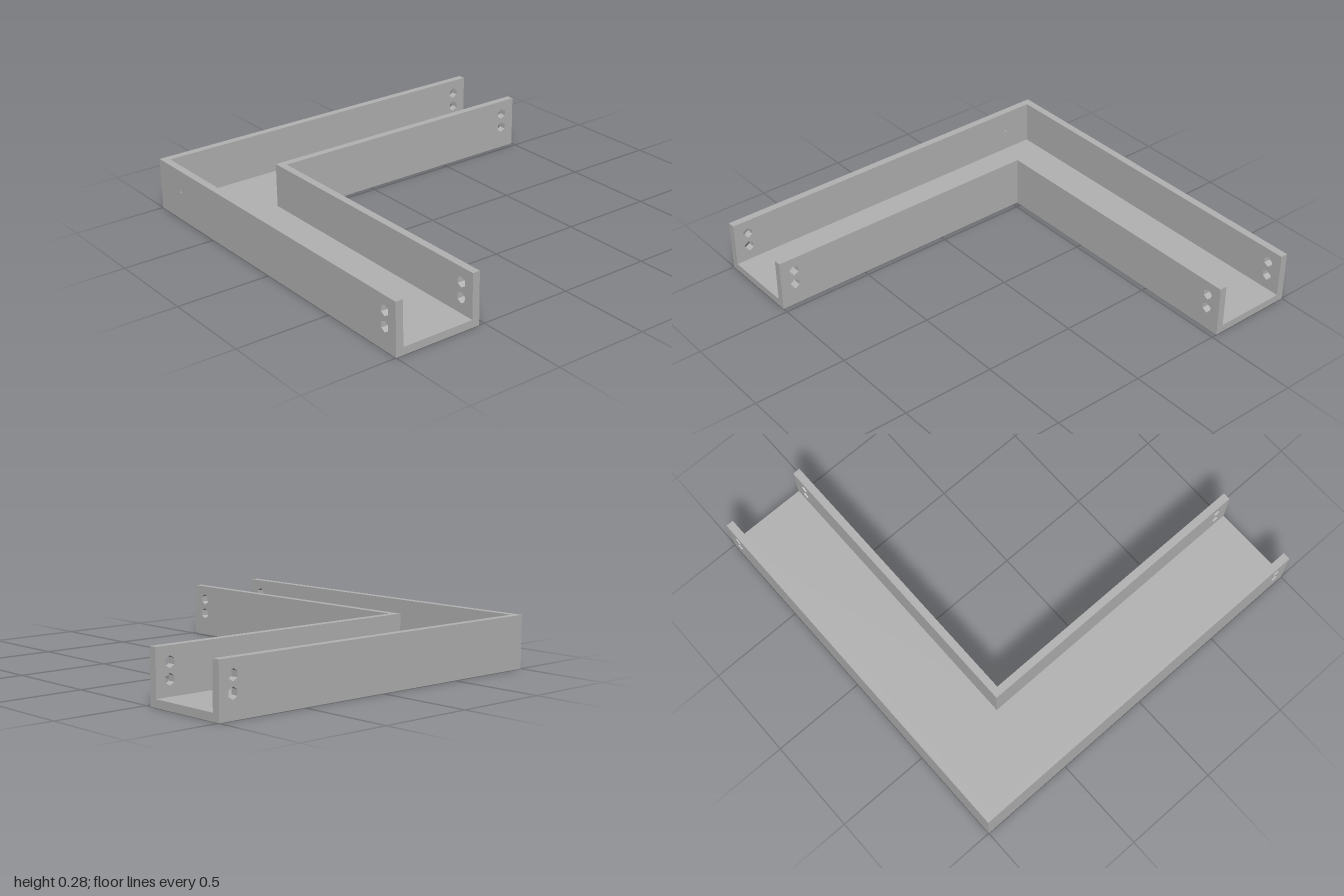
import * as THREE from 'three';

const T = 0.04;        // sheet thickness
const H = 0.275;       // overall height
const INNER = -0.53;   // outer face of the inner walls

// Polygonal hole outline, pointed at top and bottom
function hole(x, y, radius, sides) {
  const path = new THREE.Path();
  for (let i = 0; i < sides; i++) {
    const a = Math.PI / 2 - (i / sides) * Math.PI * 2;
    const px = x + radius * Math.cos(a), py = y + radius * Math.sin(a);
    if (i === 0) path.moveTo(px, py); else path.lineTo(px, py);
  }
  path.closePath();
  return path;
}

export function createModel() {
  const group = new THREE.Group();
  const grey = new THREE.MeshStandardMaterial({ color: 0xb2b2b2 });
  grey.name = 'grey metal';

  function add(name, shape, depth) {
    const geometry = new THREE.ExtrudeGeometry(shape, { depth, bevelEnabled: false });
    const mesh = new THREE.Mesh(geometry, grey);
    mesh.name = name;
    group.add(mesh);
    return mesh;
  }

  // Upright wall from start to 1 with a pair of bolt holes near its open end
  function wall(name, start, extraHoles = []) {
    const shape = new THREE.Shape([[start, T], [1, T], [1, H], [start, H]]
      .map(([x, y]) => new THREE.Vector2(x, y)));
    shape.holes.push(hole(0.92, 0.12, 0.029, 6), hole(0.92, 0.2, 0.029, 6), ...extraHoles);
    return add(name, shape, T);
  }

  // L-shaped floor
  const outline = [[-1, 1], [INNER, 1], [INNER, INNER], [1, INNER], [1, -1], [-1, -1]];
  const floor = add('floor', new THREE.Shape(outline.map(([x, z]) => new THREE.Vector2(x, -z))), T);
  floor.rotation.x = -Math.PI / 2;

  // Walls of the arm running along x
  wall('outerBackWall', -1).position.z = -1;
  wall('innerFrontWall', INNER - T).position.z = INNER - T;

  // Walls of the arm running along z; the outer one has a small pin hole
  const outerSide = wall('outerSideWall', -1 + T, [hole(-0.8, 0.16, 0.007, 6)]);
  outerSide.rotation.y = -Math.PI / 2;
  outerSide.position.x = -1 + T;
  const innerSide = wall('innerSideWall', INNER);
  innerSide.rotation.y = -Math.PI / 2;
  innerSide.position.x = INNER;

  return group;
}
